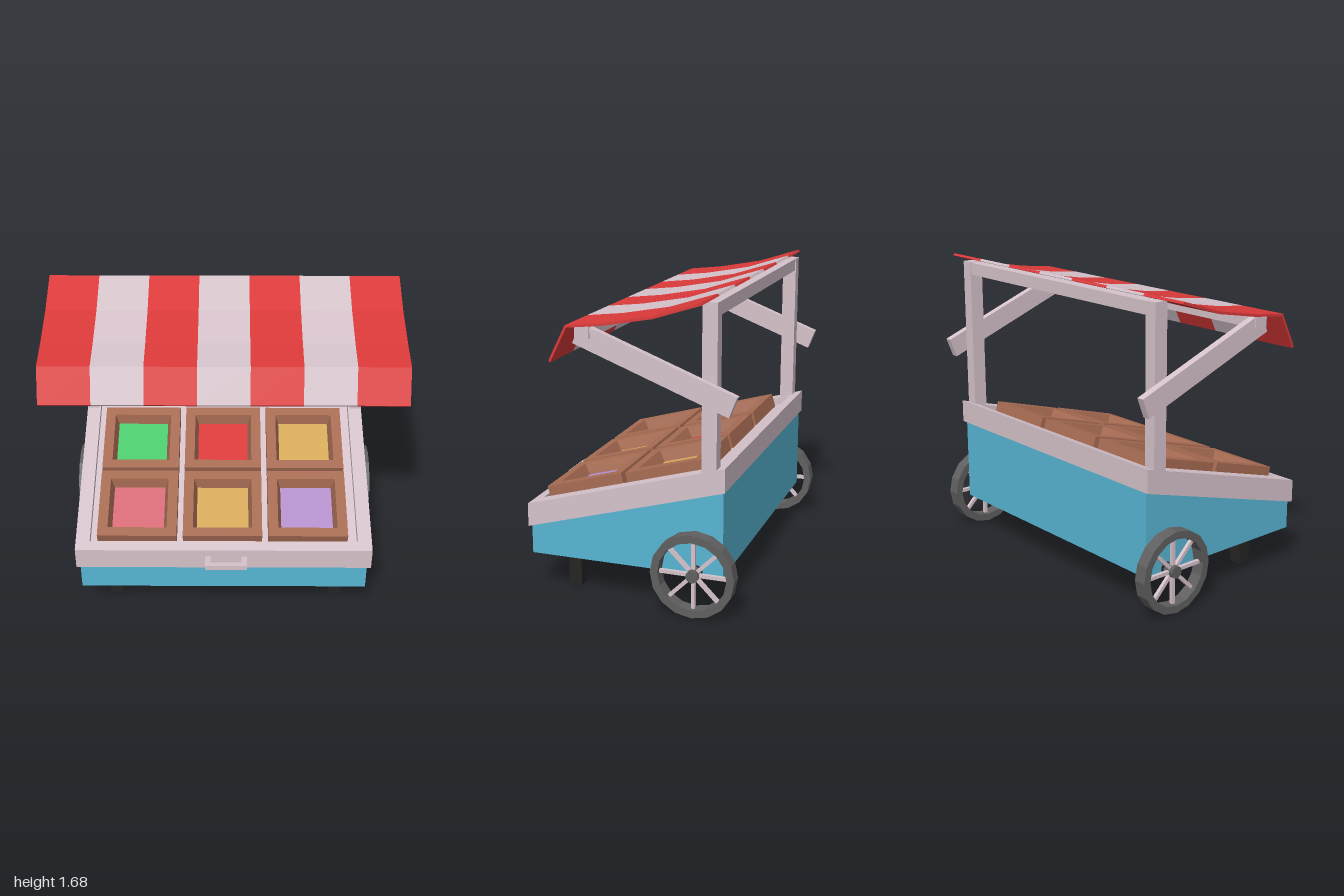
import * as THREE from 'three';

const SLOPE = 0.284;                                // fall of the display tray towards the front
const TILT = Math.atan(SLOPE);
const trayTop = z => 0.657 - SLOPE * z;

const mat = (name, color, side = THREE.FrontSide) => {
  const m = new THREE.MeshStandardMaterial({ color, side });
  m.name = name;
  return m;
};

// Faceted copy of a geometry
function facet(geo) {
  const g = geo.index ? geo.toNonIndexed() : geo;
  g.computeVertexNormals();
  return g;
}

// Rectangle in plan, optionally with a rectangular hole; bottom and top heights are functions of z
function slab(hx, hz, hole, bottom, top) {
  const rect = (p, a, b) => p.moveTo(-a, -b).lineTo(a, -b).lineTo(a, b).lineTo(-a, b).closePath();
  const shape = rect(new THREE.Shape(), hx, hz);
  if (hole) shape.holes.push(rect(new THREE.Path(), hole[0], hole[1]));
  const g = new THREE.ExtrudeGeometry(shape, { depth: 1, bevelEnabled: false });
  g.rotateX(-Math.PI / 2);
  const p = g.attributes.position;
  for (let i = 0; i < p.count; i++) {
    const z = p.getZ(i);
    p.setY(i, p.getY(i) > 0.5 ? top(z) : bottom(z));
  }
  return facet(g);
}

// Lathe from [radius, height] pairs
const lathe = (pts, n, start = 0) =>
  facet(new THREE.LatheGeometry(pts.map(p => new THREE.Vector2(p[0], p[1])), n, start));

export function createModel() {
  const model = new THREE.Group();
  model.name = 'marketCart';

  const white = mat('palePinkWood', 0xd6c3cb);
  const red = mat('red', 0xdc3a3a);
  const blue = mat('bluePaint', 0x58b6d4, THREE.DoubleSide);
  const brown = mat('crateWood', 0xa86c53);
  const grey = mat('wheelGrey', 0x606060);
  const black = mat('blackMetal', 0x242424);
  const green = mat('green', 0x4ccb6c);
  const gold = mat('gold', 0xd6aa5a);
  const salmon = mat('salmon', 0xd86c78);
  const purple = mat('purple', 0xb490cc);

  const add = (name, geo, material, x = 0, y = 0, z = 0, parent = model) => {
    const m = new THREE.Mesh(geo, material);
    m.name = name;
    m.position.set(x, y, z);
    parent.add(m);
    return m;
  };
  const box = (name, material, w, h, d, x, y, z, parent) =>
    add(name, new THREE.BoxGeometry(w, h, d), material, x, y, z, parent);

  // Open-bottomed body and sloping tray with a raised rim
  add('body', slab(0.818, 0.543, [0.81, 0.535], () => 0.21, z => trayTop(z) - 0.12), blue);
  add('trayRim', slab(0.84, 0.555, [0.76, 0.495], z => trayTop(z) - 0.13, trayTop), white);
  add('trayFloor', slab(0.762, 0.497, null, z => trayTop(z) - 0.125, z => trayTop(z) - 0.045), white);

  // Pull handle
  const handle = new THREE.Group();
  handle.name = 'handle';
  model.add(handle);
  box('handleGrip', white, 0.235, 0.03, 0.03, 0.013, 0.44, 0.62, handle);
  for (const x of [-0.09, 0.116]) box('handleArm', white, 0.03, 0.03, 0.06, x, 0.44, 0.58, handle);

  // Crates with tapered wells, each holding a coloured fill
  const r = Math.SQRT2;
  const crateGeo = lathe([[0.225 * r, -0.11], [0.225 * r, 0], [0.168 * r, 0], [0.147 * r, -0.068]], 4, Math.PI / 4);
  const fills = [[green, red, gold], [salmon, gold, purple]];
  [[-0.175, 0.748], [0.283, 0.621]].forEach(([z, y], row) => {
    [-0.492, -0.007, 0.478].forEach((x, col) => {
      const crate = new THREE.Group();
      crate.name = 'crate';
      crate.position.set(x, y, z);
      crate.rotation.x = TILT;
      model.add(crate);
      add('crateBox', crateGeo, brown, 0, 0, 0, crate);
      box('crateFill', fills[row][col], 0.298, 0.008, 0.298, 0, -0.068, 0, crate);
    });
  });

  // Front legs
  for (const x of [-0.638, 0.66]) box('frontLeg', black, 0.074, 0.215, 0.075, x, 0.1075, 0.347);

  // Wheels and axle
  const tyreGeo = lathe([[0.188, -0.036], [0.23, -0.036], [0.23, 0.036], [0.188, 0.036], [0.188, -0.036]], 16);
  const hubGeo = facet(new THREE.CylinderGeometry(0.034, 0.034, 0.066, 16));
  for (const s of [-1, 1]) {
    const wheel = new THREE.Group();
    wheel.name = s > 0 ? 'leftWheel' : 'rightWheel';
    wheel.position.set(s * 0.868, 0.23, -0.4);
    wheel.rotation.z = Math.PI / 2;
    model.add(wheel);
    add('tyre', tyreGeo, grey, 0, 0, 0, wheel);
    add('hub', hubGeo, grey, 0, 0, 0, wheel);
    for (let i = 0; i < 4; i++)
      box('spokes', white, 0.39, 0.02, 0.02, 0, 0, 0, wheel).rotation.y = i * Math.PI / 4;
  }
  add('axle', facet(new THREE.CylinderGeometry(0.034, 0.034, 1.68, 12)), black, 0, 0.23, -0.4).rotation.z = Math.PI / 2;

  // Posts, canopy struts and cross beams
  for (const s of [-1, 1]) {
    box('post', white, 0.07, 0.96, 0.08, s * 0.805, 1.18, -0.47);
    box('strut', white, 0.042, 0.115, 0.894, s * 0.861, 1.308, -0.187).rotation.x = -0.367;
  }
  box('backBeam', white, 1.55, 0.07, 0.07, 0, 1.622, -0.47);
  box('frontBeam', white, 1.78, 0.078, 0.08, 0, 1.483, 0.195);

  // Striped canopy with a hanging front edge, as [z, y] points
  const top = [[0.33, 1.345], [0.237, 1.53], [0.04, 1.553], [-0.22, 1.602], [-0.47, 1.683]];
  const under = top.map(([z, y]) => [z - 0.008, y - 0.012]).reverse();
  const profile = new THREE.Shape([...top, ...under].map(p => new THREE.Vector2(p[0], p[1])));
  const stripe = 2 / 7;
  const stripeGeo = new THREE.ExtrudeGeometry(profile, { depth: stripe, bevelEnabled: false });
  stripeGeo.rotateY(-Math.PI / 2);
  for (let i = 0; i < 7; i++)
    add('canopyStripe', stripeGeo, i % 2 ? white : red, -1 + (i + 1) * stripe);

  return model;
}
